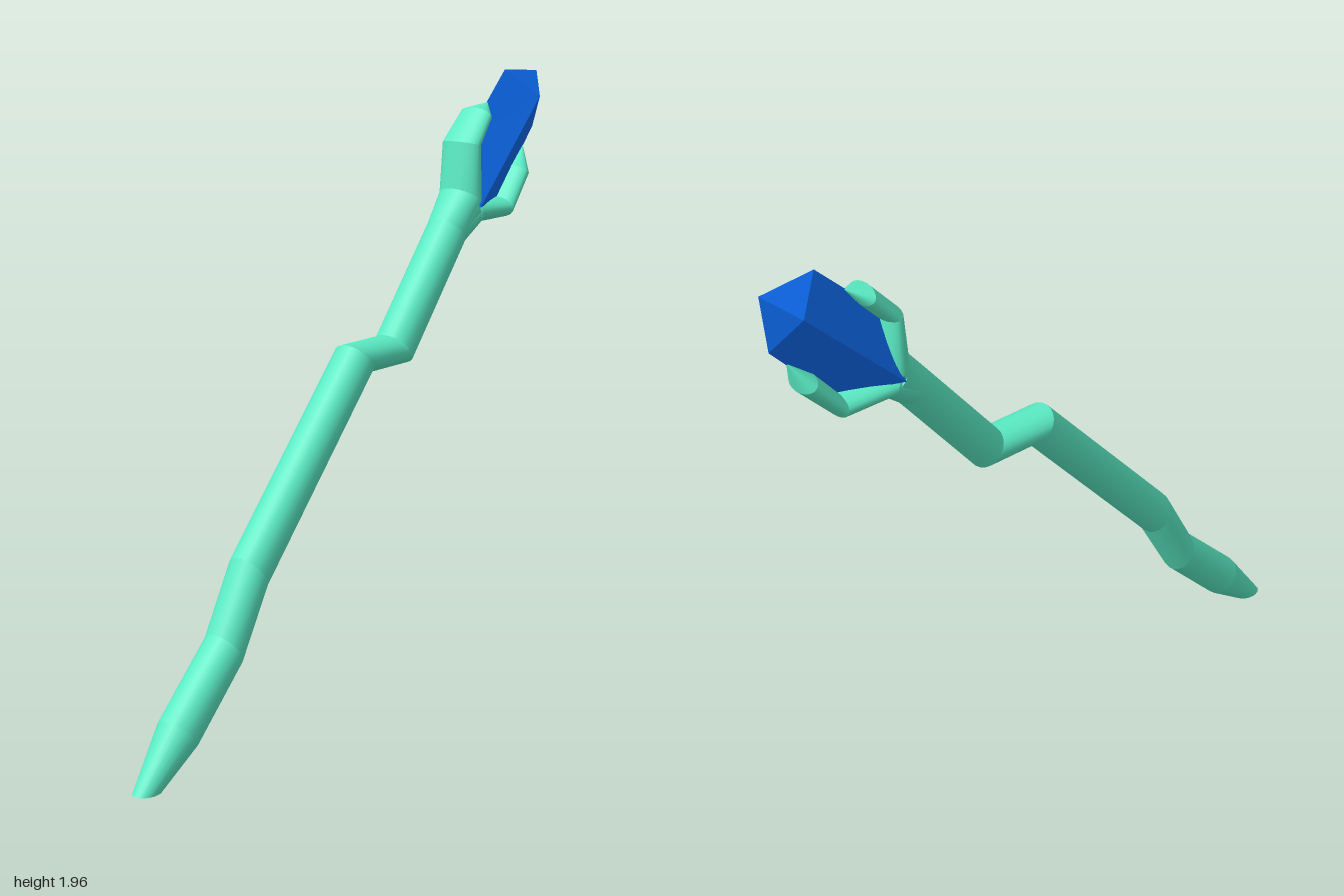
import * as THREE from 'three';
import { mergeGeometries } from 'three/addons/utils/BufferGeometryUtils.js';

const SIDES = 20;

// A ring is [left x, left y, right x, right y, half depth in z].
// Each stretch keeps its own normals: round across, sharp at the bends.
function limb(rings, name, material) {
  const stretches = [];
  for (let r = 0; r + 1 < rings.length; r++) {
    const pos = [], index = [];
    for (const [lx, ly, rx, ry, w] of [rings[r], rings[r + 1]]) {
      for (let i = 0; i < SIDES; i++) {
        const t = (i / SIDES) * Math.PI * 2, c = Math.cos(t) / 2;
        pos.push((lx + rx) / 2 + (rx - lx) * c, (ly + ry) / 2 + (ry - ly) * c, w * Math.sin(t));
      }
    }
    for (let i = 0; i < SIDES; i++) {
      const j = (i + 1) % SIDES;
      index.push(i, i + SIDES, j, i + SIDES, j + SIDES, j);
    }
    const g = new THREE.BufferGeometry();
    g.setAttribute('position', new THREE.Float32BufferAttribute(pos, 3));
    g.setIndex(index);
    g.computeVertexNormals();
    stretches.push(g);
  }
  const mesh = new THREE.Mesh(mergeGeometries(stretches), material);
  mesh.name = name;
  return mesh;
}

// Four-sided crystal: lower ring, upper ring, off-centre point
function crystal(material) {
  const corners = [
    [0.595, 1.745, 0], [0.575, 1.54, 0.08], [0.78, 1.54, 0], [0.575, 1.54, -0.08],
    [0.815, 1.96, 0], [0.91, 1.87, 0.076], [0.98, 1.76, 0], [0.91, 1.87, -0.076],
    [1, 1.945, 0],
  ];
  const index = [0, 3, 1, 1, 3, 2];
  for (let i = 0; i < 4; i++) {
    const j = (i + 1) % 4;
    index.push(i, j, j + 4, i, j + 4, i + 4, i + 4, j + 4, 8);
  }
  const g = new THREE.BufferGeometry();
  g.setAttribute('position', new THREE.Float32BufferAttribute(corners.flat(), 3));
  g.setIndex(index);
  const flat = g.toNonIndexed();
  flat.computeVertexNormals();
  const mesh = new THREE.Mesh(flat, material);
  mesh.name = 'crystal';
  return mesh;
}

export function createModel() {
  const group = new THREE.Group();
  group.name = 'crystalStaff';
  const green = new THREE.MeshStandardMaterial({ color: 0x5aebc4 });
  const blue = new THREE.MeshStandardMaterial({ color: 0x0d6cf2, flatShading: true });

  // Crooked shaft, from the tapered foot up to the fork
  group.add(limb([
    [-0.95, 0, -0.95, 0, 0],
    [-1, 0, -0.9, 0, 0.038],
    [-0.86, 0.19, -0.77, 0.09, 0.068],
    [-0.645, 0.4, -0.57, 0.29, 0.068],
    [-0.53, 0.61, -0.45, 0.5, 0.068],
    [-0.02, 1.175, 0.065, 1.075, 0.068],
    [0.18, 1.175, 0.265, 1.075, 0.068],
    [0.455, 1.51, 0.545, 1.42, 0.068],
    [0.53, 1.6, 0.62, 1.48, 0.078],
    [0.575, 1.54, 0.575, 1.54, 0],
  ], 'shaft', green));

  // Two prongs that clasp the crystal
  group.add(limb([
    [0.455, 1.51, 0.545, 1.42, 0.068],
    [0.53, 1.6, 0.62, 1.53, 0.078],
    [0.548, 1.75, 0.61, 1.73, 0.072],
    [0.64, 1.852, 0.675, 1.8, 0.06],
    [0.72, 1.862, 0.72, 1.862, 0],
  ], 'upperProng', green));
  group.add(limb([
    [0.455, 1.51, 0.545, 1.42, 0.068],
    [0.58, 1.56, 0.62, 1.48, 0.078],
    [0.765, 1.55, 0.78, 1.48, 0.072],
    [0.845, 1.645, 0.9, 1.605, 0.06],
    [0.925, 1.705, 0.925, 1.705, 0],
  ], 'lowerProng', green));

  group.add(crystal(blue));
  return group;
}
